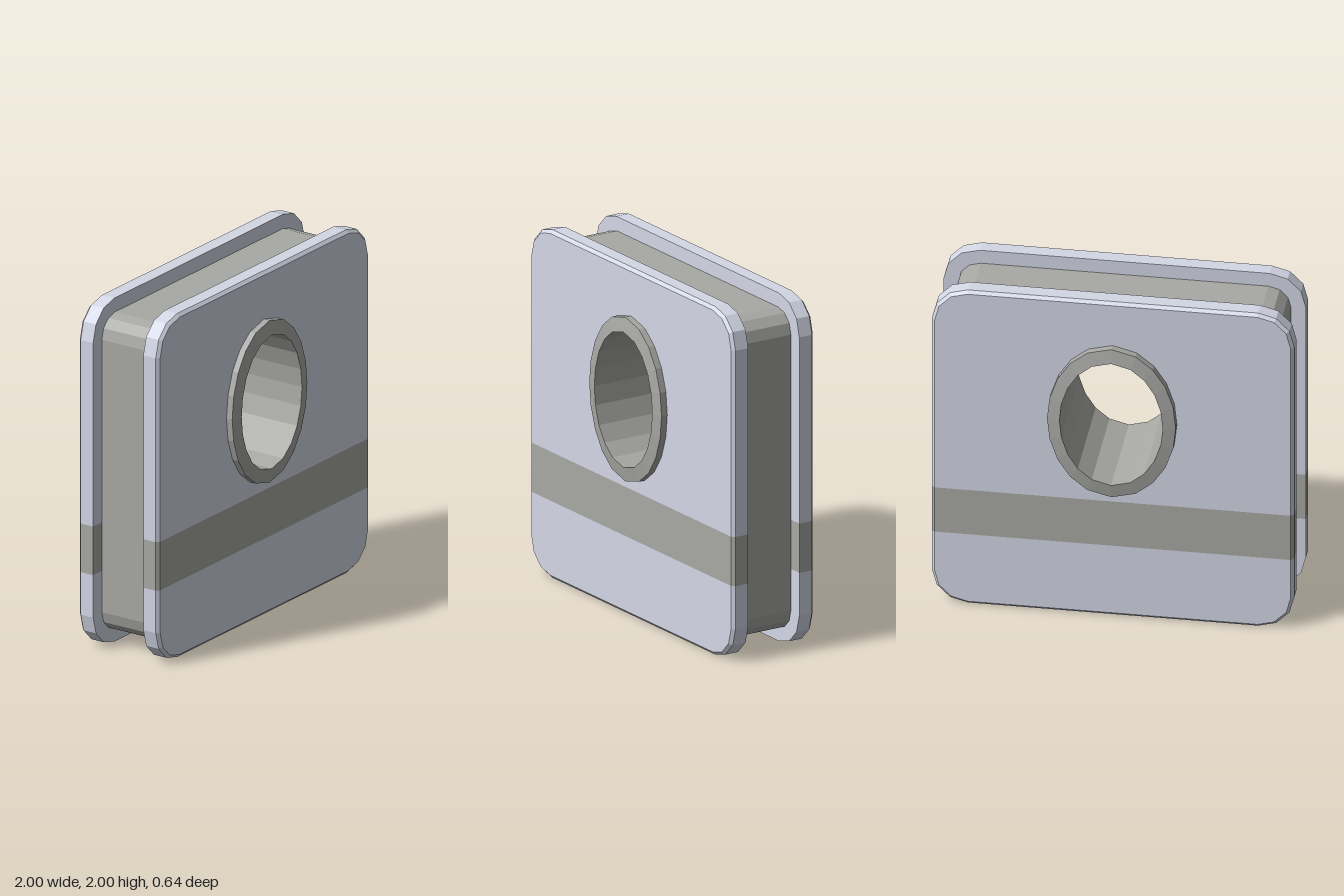
import * as THREE from 'three';

const paint = color => new THREE.MeshStandardMaterial({ color, flatShading: true });
const HOLE_Y = 1.256;

// Points of the oval, counter-clockwise, symmetric in all four quadrants
function oval(rx, ry) {
  const quarter = [0, 22, 40, 57, 74];
  const back = quarter.slice(1).reverse();
  const half = [...quarter, 90, ...back.map(a => 180 - a)];
  return [...half, ...half.map(a => a + 180)].map(a => {
    const t = THREE.MathUtils.degToRad(a);
    return new THREE.Vector2(-rx * Math.sin(t), HOLE_Y + ry * Math.cos(t));
  });
}

// One quadrant corner of a rounded square, three facets
function corner(half, r, k) {
  return [0, 1, 2, 3].map(i => {
    const t = k * Math.PI / 2 + i * Math.PI / 6;
    const sx = k === 0 || k === 3 ? 1 : -1, sy = k < 2 ? 1 : -1;
    return new THREE.Vector2(
      sx * (half - r) + r * Math.cos(t), 1 + sy * (half - r) + r * Math.sin(t));
  });
}

function extrude(points, depth, steps, hole) {
  const shape = new THREE.Shape(points);
  if (hole) shape.holes.push(new THREE.Path(hole));
  return new THREE.ExtrudeGeometry(shape, { depth, steps, bevelEnabled: false });
}

// Slab from z = 0.17 to 0.27 with its outer rim chamfered evenly
function plateSlice(points, hole) {
  const geo = extrude(points, 0.1, 2, hole);
  const p = geo.attributes.position;
  const inset = v => {
    const c = THREE.MathUtils.clamp(v, -0.8, 0.8);
    return c + (v - c) * 0.91;
  };
  for (let i = 0; i < p.count; i++) {
    const z = p.getZ(i);
    if (z > 0.09) {
      p.setX(i, inset(p.getX(i)));
      p.setY(i, 1 + inset(p.getY(i) - 1));
    } else if (z > 0.01) p.setZ(i, 0.083);
  }
  geo.translate(0, 0, 0.17);
  geo.computeVertexNormals();
  return geo;
}

// Closed tube wall: four ovals joined in a loop, the ends sloping up to the inner edge
function sleeveGeometry() {
  const outer = oval(0.355, 0.472), inner = oval(0.285, 0.389);
  const rings = [[outer, -0.308], [outer, 0.308], [inner, 0.322], [inner, -0.322]];
  const n = outer.length, pos = [], index = [];
  for (const [pts, z] of rings) for (const v of pts) pos.push(v.x, v.y, z);
  for (let r = 0; r < 4; r++) {
    for (let i = 0; i < n; i++) {
      const j = (i + 1) % n, s = ((r + 1) % 4) * n;
      const a = r * n + i, b = r * n + j, c = s + j, d = s + i;
      index.push(a, b, c, a, c, d);
    }
  }
  const geo = new THREE.BufferGeometry();
  geo.setAttribute('position', new THREE.Float32BufferAttribute(pos, 3));
  geo.setIndex(index);
  const flat = geo.toNonIndexed();
  flat.computeVertexNormals();
  return flat;
}

export function createModel() {
  const group = new THREE.Group();
  const light = paint(0xd4d8e6), dark = paint(0xa8a8a5);
  const add = (parent, name, geo, mat) => {
    const mesh = new THREE.Mesh(geo, mat);
    mesh.name = name;
    parent.add(mesh);
  };
  const V = (x, y) => new THREE.Vector2(x, y);
  const bore = oval(0.32, 0.43);

  // Inner block between the plates
  const block = [0, 1, 2, 3].flatMap(k => corner(0.918, 0.125, k));
  add(group, 'core', extrude(block, 0.36, 1, bore).translate(0, 0, -0.18), dark);

  // Front and back plates, each with a dark stripe across
  const lo = 0.447, hi = 0.73;
  const upper = [V(1, hi), ...corner(1, 0.2, 0), ...corner(1, 0.2, 1), V(-1, hi)];
  const lower = [V(-1, lo), ...corner(1, 0.2, 2), ...corner(1, 0.2, 3), V(1, lo)];
  const stripe = [V(-1, lo), V(1, lo), V(1, hi), V(-1, hi)];
  for (const name of ['frontPlate', 'backPlate']) {
    const plate = new THREE.Group();
    plate.name = name;
    add(plate, 'upperPanel', plateSlice(upper, bore), light);
    add(plate, 'stripe', plateSlice(stripe), dark);
    add(plate, 'lowerPanel', plateSlice(lower), light);
    if (name === 'backPlate') {
      plate.rotation.y = Math.PI;
      plate.position.z = 0.005;
    }
    group.add(plate);
  }

  // Oval sleeve through everything
  add(group, 'sleeve', sleeveGeometry(), dark);

  return group;
}
